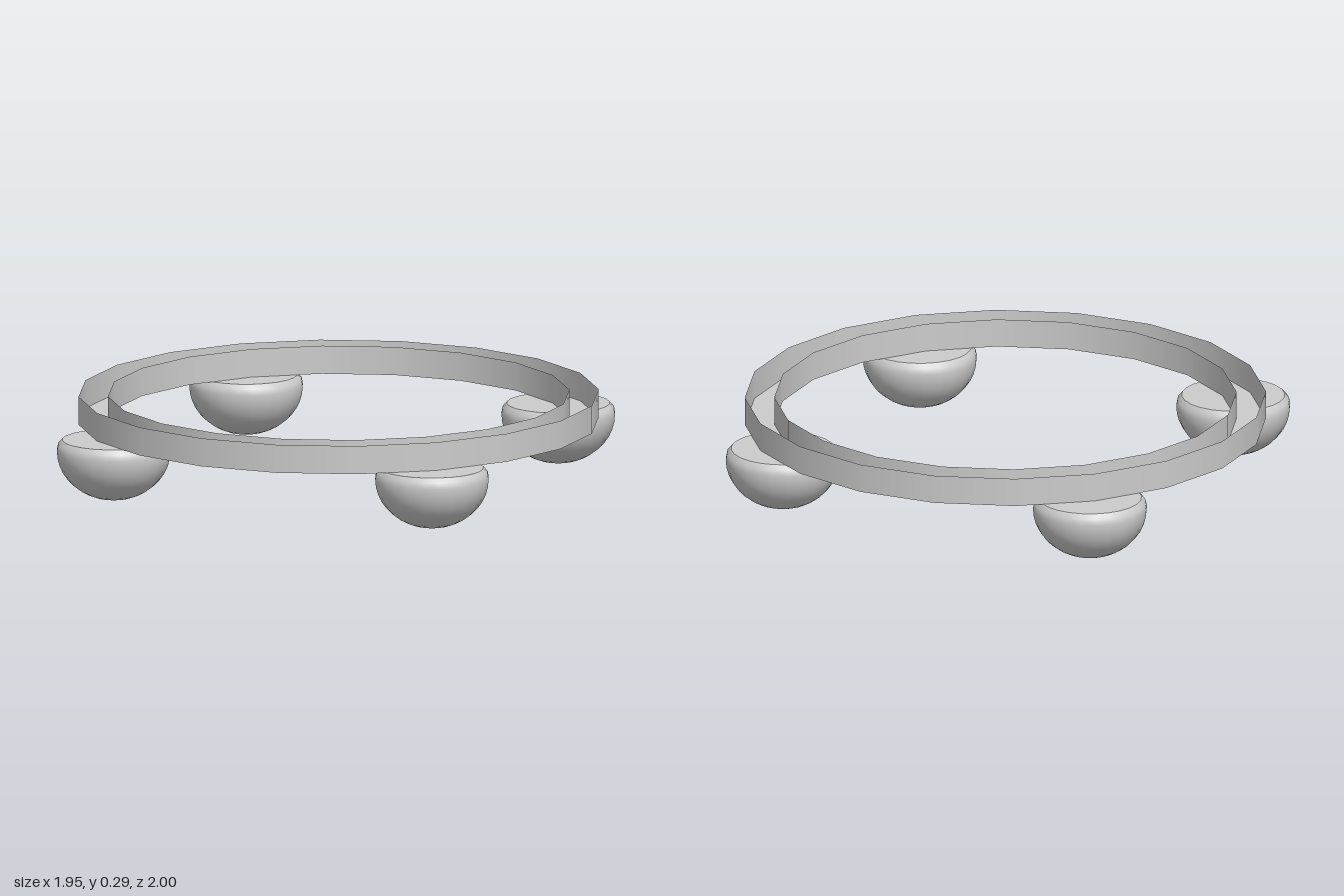
import * as THREE from 'three';

export function createModel() {
  const model = new THREE.Group();
  const material = new THREE.MeshStandardMaterial({ color: 0xcccccc, side: THREE.DoubleSide });
  const add = (parent, name, geometry) => {
    const mesh = new THREE.Mesh(geometry, material);
    mesh.name = name;
    parent.add(mesh);
    return mesh;
  };

  // Ring: a twenty-sided channel, open at the top
  const outer = 0.857, inner = 0.76, base = 0.2, height = 0.094, sides = 20;
  const ring = new THREE.Group();
  ring.name = 'ring';
  ring.position.set(0.007, base, 0.004);
  model.add(ring);
  const wall = (radius) =>
    new THREE.CylinderGeometry(radius, radius, height, sides, 1, true).translate(0, height / 2, 0);
  add(ring, 'outerWall', wall(outer));
  add(ring, 'innerWall', wall(inner));
  add(ring, 'ringFloor', new THREE.RingGeometry(inner, outer, sides).rotateX(Math.PI / 2));

  // Foot profile: a round bowl that curls in to a flat top
  const footRadius = 0.188, belly = 0.165, capRadius = 0.17;
  const profile = [];
  for (let i = 0; i <= 10; i++) {
    const a = (i / 10) * Math.PI / 2;
    profile.push(new THREE.Vector2(footRadius * Math.sin(a), belly * (1 - Math.cos(a))));
  }
  profile.push(new THREE.Vector2(0.184, 0.185), new THREE.Vector2(capRadius, base));
  const bowl = new THREE.LatheGeometry(profile, 24);
  const cap = new THREE.CircleGeometry(capRadius, 24).rotateX(-Math.PI / 2).translate(0, base, 0);

  // Four feet under the ring
  const feet = [
    ['leftFoot', 0.787, 0.002], ['rightFoot', -0.79, 0.002],
    ['frontFoot', 0.01, 0.812], ['backFoot', 0.01, -0.812],
  ];
  for (const [name, x, z] of feet) {
    const foot = new THREE.Group();
    foot.name = name;
    foot.position.set(x, 0, z);
    add(foot, 'footBowl', bowl);
    add(foot, 'footTop', cap);
    model.add(foot);
  }
  return model;
}
